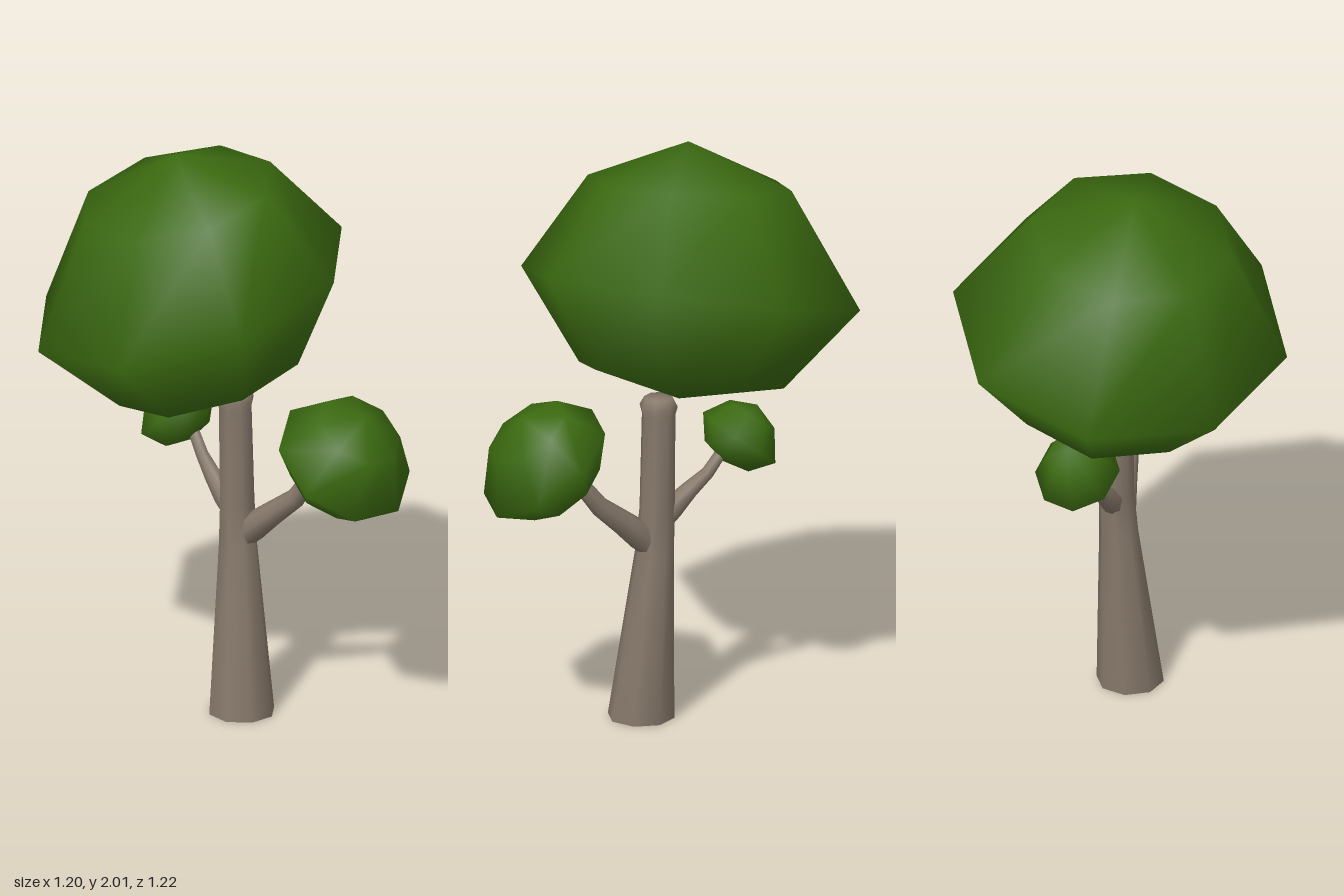
import * as THREE from 'three';

const SIDES = 8;
const UP = new THREE.Vector3(0, 1, 0);

// Skin over stacked eight-sided rings, closed to a point at the end and, if given, at the start
function loft(rings, end, start) {
  const pos = [], index = [];
  for (const ring of rings) for (const p of ring) pos.push(p.x, p.y, p.z);
  const last = (rings.length - 1) * SIDES;
  const e = rings.length * SIDES, s = e + 1;
  pos.push(end.x, end.y, end.z);
  if (start) pos.push(start.x, start.y, start.z);
  for (let j = 0; j < SIDES; j++) {
    const k = (j + 1) % SIDES;
    for (let i = 0; i < last; i += SIDES) {
      const a = i + j, b = i + k, c = a + SIDES, d = b + SIDES;
      index.push(a, c, b, b, c, d);
    }
    index.push(e, last + k, last + j);
    if (start) index.push(s, j, k);
  }
  const g = new THREE.BufferGeometry();
  g.setAttribute('position', new THREE.Float32BufferAttribute(pos, 3));
  g.setIndex(index);
  g.computeVertexNormals();
  return g;
}

function ring(center, rx, rz, tilt) {
  return Array.from({ length: SIDES }, (_, j) => {
    const t = (j / SIDES) * Math.PI * 2;
    return new THREE.Vector3(Math.cos(t) * rx, 0, Math.sin(t) * rz).applyQuaternion(tilt).add(center);
  });
}

// Tapered limb, open at its base, through sections [x, y, z, radius]
function limb(sections, level = false) {
  const pts = sections.map(([x, y, z]) => new THREE.Vector3(x, y, z));
  const rings = pts.map((p, i) => {
    const dir = pts[Math.min(i + 1, pts.length - 1)].clone().sub(pts[Math.max(i - 1, 0)]).normalize();
    const tilt = new THREE.Quaternion();
    if (!level) tilt.setFromUnitVectors(UP, dir);
    return ring(p, sections[i][3], sections[i][3], tilt);
  });
  return loft(rings, pts[pts.length - 1]);
}

// Lopsided leaf crown around its own axis: [x, y, z, x radius, z radius, x slope, z slope]
function crownGeometry() {
  const rings = [
    [-0.015, -0.298, 0, 0.34, 0.355, 0, 0],
    [0, 0, 0, 0.563, 0.588, 0, 0],
    [0.053, 0.358, 0.035, 0.34, 0.352, -0.06, -0.05],
  ].map(([x, y, z, rx, rz, sx, sz]) => ring(
    new THREE.Vector3(x, y, z), rx, rz,
    new THREE.Quaternion().setFromUnitVectors(UP, new THREE.Vector3(-sx, 1, -sz).normalize())));
  return loft(rings, new THREE.Vector3(0.085, 0.5, 0.05), new THREE.Vector3(-0.02, -0.378, 0));
}

export function createModel() {
  const leaf = new THREE.MeshStandardMaterial({ color: 0x3b6a10 });
  leaf.name = 'leaf green';
  const bark = new THREE.MeshStandardMaterial({ color: 0x86786a, side: THREE.DoubleSide });
  bark.name = 'bark brown';
  const tree = new THREE.Group();
  tree.name = 'tree';

  const add = (name, geometry, material) => {
    const mesh = new THREE.Mesh(geometry, material);
    mesh.name = name;
    tree.add(mesh);
    return mesh;
  };

  // Trunk
  add('trunk', limb([
    [0.078, 0, 0.125, 0.115],
    [0.079, 0.6, 0.078, 0.067],
    [0.08, 0.75, 0.069, 0.061],
    [0.074, 1.09, 0.065, 0.058],
    [0.074, 1.12, 0.065, 0.066],
    [0.074, 1.15, 0.065, 0.05],
  ], true), bark);

  // Branches
  add('frontBranch', limb([
    [0.075, 0.59, 0.07, 0.035],
    [0.12, 0.665, 0.12, 0.05],
    [0.17, 0.725, 0.17, 0.042],
    [0.235, 0.8, 0.235, 0.034],
    [0.262, 0.88, 0.29, 0.03],
    [0.28, 0.94, 0.325, 0.028],
  ]), bark);
  add('backBranch', limb([
    [0.075, 0.68, 0.065, 0.03],
    [0.052, 0.745, 0.025, 0.04],
    [0.025, 0.805, -0.03, 0.03],
    [0.005, 0.865, -0.09, 0.022],
    [-0.01, 0.93, -0.13, 0.02],
  ]), bark);

  // Leaf crowns: name, centre, axis, scale, flattening, turn about the axis
  const crown = crownGeometry();
  for (const [name, center, axis, scale, flat, turn] of [
    ['mainCrown', [-0.06, 1.5, -0.017], [-0.295, 1, -0.06], 1, 1, 0],
    ['frontCrown', [0.354, 0.985, 0.4], [0.41, 1, 0.68], 0.445, 0.87, Math.PI * 0.75],
    ['backCrown', [-0.05, 0.978, -0.187], [-0.45, 1, -0.65], 0.255, 1, 0],
  ]) {
    const mesh = add(name, crown, leaf);
    mesh.position.set(...center);
    mesh.quaternion.setFromUnitVectors(UP, new THREE.Vector3(...axis).normalize());
    mesh.rotateY(turn);
    mesh.scale.set(scale, scale * flat, scale);
  }
  return tree;
}
